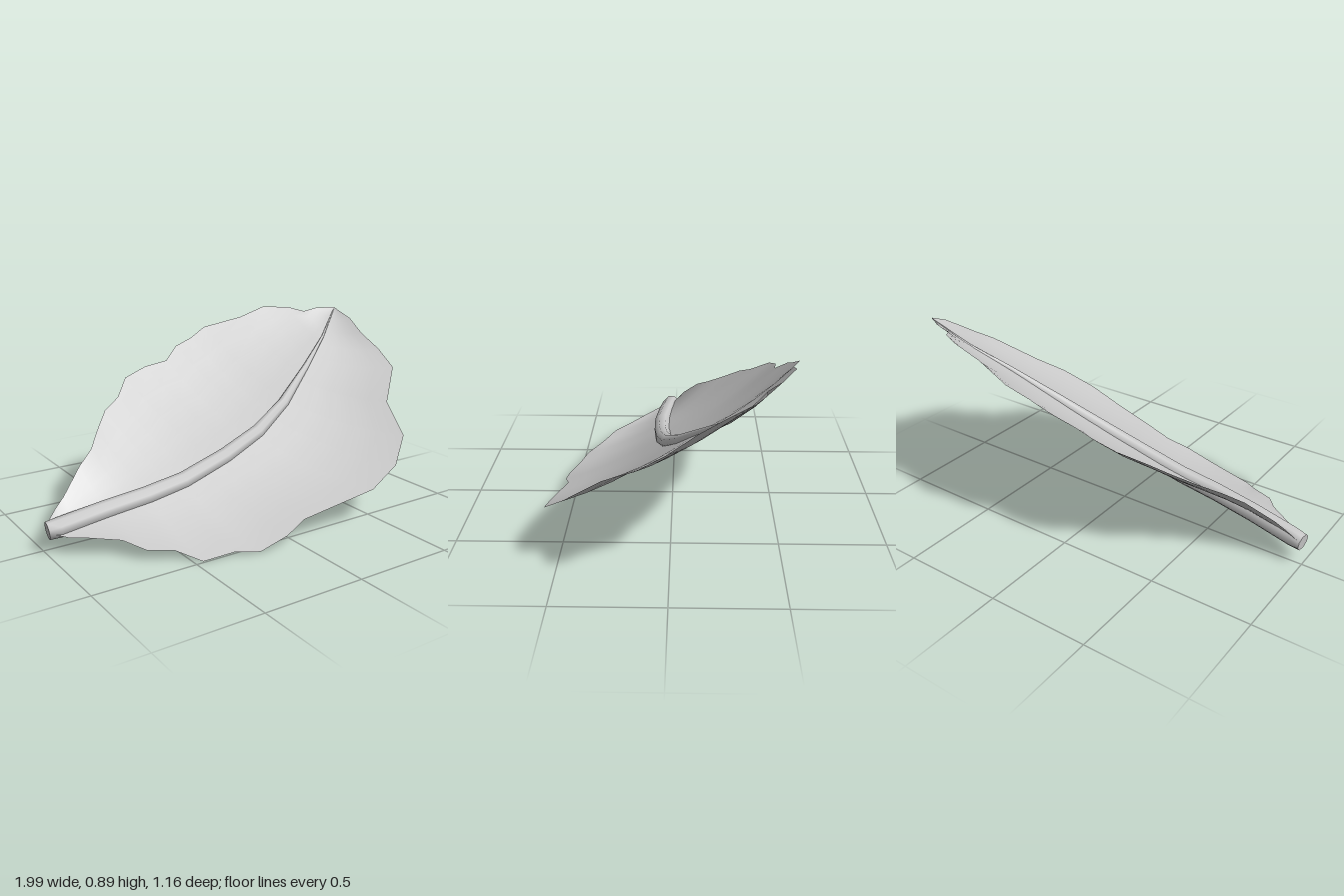
import * as THREE from 'three';
import { toCreasedNormals } from 'three/addons/utils/BufferGeometryUtils.js';

const vec = (p) => new THREE.Vector3(...p);

// Midrib centre line from stalk to tip: x, y, z, radius
const RIB = [
  [-0.985, 0.108, 0.025, 0.042], [-0.93, 0.115, 0.032, 0.047], [-0.72, 0.152, 0.05, 0.046],
  [-0.5, 0.183, 0.066, 0.045], [-0.3, 0.215, 0.063, 0.043], [-0.05, 0.287, 0.046, 0.041],
  [0.17, 0.367, 0.015, 0.037], [0.38, 0.475, -0.045, 0.029], [0.61, 0.625, -0.145, 0.016],
  [0.8, 0.75, -0.24, 0.007], [0.955, 0.885, -0.33, 0.002],
];

// Wavy margins from stalk to tip: x, y, z
const BACK_EDGE = [
  [-0.97, 0.13, -0.01], [-0.92, 0.18, -0.03], [-0.87, 0.22, -0.05], [-0.75, 0.32, -0.13], [-0.66, 0.37, -0.19],
  [-0.59, 0.425, -0.27], [-0.5, 0.495, -0.36], [-0.4, 0.54, -0.41], [-0.31, 0.61, -0.5],
  [-0.18, 0.65, -0.52], [-0.06, 0.67, -0.505], [0.03, 0.73, -0.555], [0.13, 0.765, -0.56],
  [0.23, 0.81, -0.585], [0.44, 0.855, -0.53], [0.59, 0.9, -0.525], [0.72, 0.895, -0.46],
  [0.78, 0.875, -0.39], [0.87, 0.89, -0.38], [0.955, 0.89, -0.33],
];
const FRONT_EDGE = [
  [-0.97, 0.1, 0.06], [-0.92, 0.09, 0.11], [-0.85, 0.09, 0.16], [-0.73, 0.083, 0.25], [-0.66, 0.055, 0.35],
  [-0.55, 0.045, 0.4], [-0.46, 0.005, 0.49], [-0.31, 0.02, 0.515], [-0.2, 0.01, 0.56],
  [-0.05, 0.05, 0.56], [0.07, 0.09, 0.53], [0.25, 0.13, 0.555], [0.45, 0.172, 0.58],
  [0.62, 0.255, 0.555], [0.76, 0.36, 0.46], [0.81, 0.485, 0.28], [0.99, 0.62, 0.13],
  [1.0, 0.7, 0], [0.975, 0.77, -0.11], [0.98, 0.84, -0.22], [0.955, 0.89, -0.33],
];

// Grid of rows sharing one length, joined into a surface
function gridGeometry(rows) {
  const n = rows[0].length;
  const index = [];
  for (let i = 0; i < rows.length - 1; i++) {
    for (let j = 0; j < n - 1; j++) {
      const a = i * n + j, b = a + n;
      index.push(a, a + 1, b, b, a + 1, b + 1);
    }
  }
  const geometry = new THREE.BufferGeometry().setFromPoints(rows.flat());
  geometry.setIndex(index);
  geometry.computeVertexNormals();
  return geometry;
}

// Half of the blade: each margin point runs back to the rib with a slight sag
function bladeHalf(ribCurve, edge, name, material, flip) {
  const points = edge.map(vec);
  const lengths = [0];
  for (let i = 1; i < points.length; i++) {
    lengths.push(lengths[i - 1] + points[i].distanceTo(points[i - 1]));
  }
  const total = lengths[lengths.length - 1];
  const steps = [0, 0.2, 0.4, 0.6, 0.8, 1];
  const rows = points.map((p, i) => {
    const root = ribCurve.getPointAt(Math.min(1, lengths[i] / total));
    const width = root.distanceTo(p);
    const row = steps.map((s) => {
      const q = root.clone().lerp(p, s);
      q.y -= 0.2 * width * s * (1 - s);
      return q;
    });
    return flip ? row.reverse() : row;
  });
  const mesh = new THREE.Mesh(gridGeometry(rows), material);
  mesh.name = name;
  return mesh;
}

// Tapered eight-sided midrib with a closed stalk end
function midrib(material) {
  const sides = 8;
  const centres = RIB.map(([x, y, z]) => new THREE.Vector3(x, y, z));
  const rings = centres.map((c, i) => {
    const along = centres[Math.min(i + 1, centres.length - 1)].clone()
      .sub(centres[Math.max(i - 1, 0)]).normalize();
    const side = along.clone().cross(new THREE.Vector3(0, 1, 0)).normalize();
    const up = side.clone().cross(along);
    return Array.from({ length: sides + 1 }, (_, j) => {
      const a = ((j + 0.5) / sides) * Math.PI * 2;
      return c.clone().addScaledVector(side, Math.cos(a) * RIB[i][3])
        .addScaledVector(up, Math.sin(a) * RIB[i][3]);
    });
  });
  rings.unshift(Array.from({ length: sides + 1 }, () => centres[0].clone()));
  const mesh = new THREE.Mesh(toCreasedNormals(gridGeometry(rings), 0.9), material);
  mesh.name = 'midrib';
  return mesh;
}

export function createModel() {
  const group = new THREE.Group();
  group.name = 'leaf';
  const material = new THREE.MeshStandardMaterial({ color: 0xcccccc, side: THREE.DoubleSide });
  const ribCurve = new THREE.CatmullRomCurve3(RIB.map(([x, y, z]) => new THREE.Vector3(x, y, z)));
  group.add(
    bladeHalf(ribCurve, BACK_EDGE, 'backBlade', material, true),
    bladeHalf(ribCurve, FRONT_EDGE, 'frontBlade', material, false),
    midrib(material),
  );
  return group;
}
